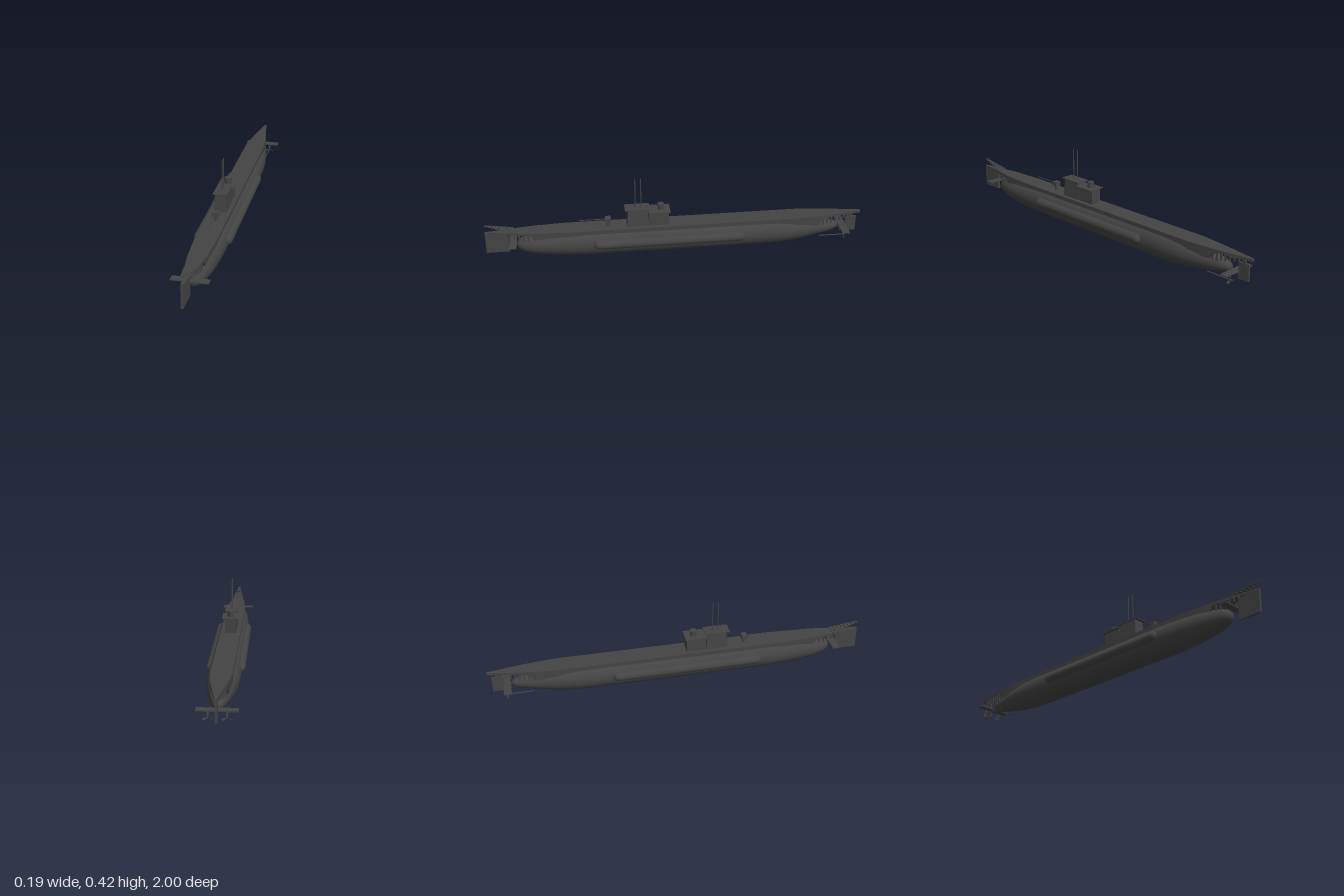
import * as THREE from 'three';

export function createModel() {
  const model = new THREE.Group();
  const mat = new THREE.MeshStandardMaterial({ color: 0x444444 });
  mat.name = 'dark hull grey';

  const add = (name, geo, x = 0, y = 0, z = 0, parent = model) => {
    const m = new THREE.Mesh(geo, mat);
    m.name = name;
    m.position.set(x, y, z);
    parent.add(m);
    return m;
  };
  // Box given by its centre x, full width, and y and z ranges
  const box = (name, x, w, y0, y1, z0, z1) =>
    add(name, new THREE.BoxGeometry(w, y1 - y0, z1 - z0), x, (y0 + y1) / 2, (z0 + z1) / 2);
  const rod = (name, r, len, x, y, z, sides = 12) =>
    add(name, new THREE.CylinderGeometry(r, r, len, sides), x, y, z);
  const rodZ = (name, r, z0, z1, x, y) =>
    add(name, new THREE.CylinderGeometry(r, r, z1 - z0, 10).rotateX(Math.PI / 2), x, y, (z0 + z1) / 2);

  // Rounded pressure hull, turned around the z axis
  const profile = [
    [0, -0.88], [0.012, -0.877], [0.024, -0.86], [0.036, -0.82], [0.049, -0.75], [0.062, -0.68],
    [0.072, -0.61], [0.077, -0.54], [0.079, -0.45], [0.079, 0.42], [0.078, 0.5], [0.074, 0.59],
    [0.066, 0.68], [0.056, 0.75], [0.043, 0.8], [0.03, 0.825], [0.015, 0.838], [0, 0.84],
  ].map(([r, z]) => new THREE.Vector2(r, z));
  add('pressureHull', new THREE.LatheGeometry(profile, 40).rotateX(Math.PI / 2), 0, 0.08, 0);

  // Deck casing: stations of z, half width, bottom height
  const stations = [
    [-1, 0.005, 0.147], [-0.93, 0.016, 0.147], [-0.85, 0.03, 0.145], [-0.79, 0.038, 0.142],
    [-0.77, 0.041, 0.105], [-0.65, 0.053, 0.1], [0.58, 0.053, 0.1], [0.74, 0.043, 0.104],
    [0.76, 0.041, 0.145], [0.86, 0.027, 0.15], [0.94, 0.012, 0.152], [1, 0.005, 0.152],
  ];
  const deck = new THREE.BoxGeometry(1, 1, 1, 1, 1, stations.length - 1);
  const p = deck.attributes.position;
  for (let i = 0; i < p.count; i++) {
    const [z, w, y] = stations[Math.round((p.getZ(i) + 0.5) * (stations.length - 1))];
    p.setXYZ(i, p.getX(i) * 2 * w, p.getY(i) > 0 ? 0.16 : y, z);
  }
  deck.computeVertexNormals();
  add('deckCasing', deck);

  const deckWidth = (z) => {
    const i = Math.max(1, stations.findIndex((s) => s[0] >= z));
    const [a, b] = [stations[i - 1], stations[i]];
    return THREE.MathUtils.lerp(a[1], b[1], (z - a[0]) / (b[0] - a[0]));
  };

  for (const s of [1, -1]) {
    // Saddle tanks
    add('saddleTank', new THREE.CapsuleGeometry(0.027, 0.746, 10, 24).rotateX(Math.PI / 2), s * 0.07, 0.087, 0.04);

    // Open ribs under both ends of the deck
    for (let i = 0; i < 8; i++) {
      const zs = -0.79 - i * 0.023;
      box('sternRib', s * (deckWidth(zs) - 0.003), 0.004, 0.1 + i * 0.005, 0.15, zs - 0.005, zs + 0.005);
      if (i > 5) continue;
      const zb = 0.775 + i * 0.024;
      box('bowRib', s * (deckWidth(zb) - 0.003), 0.004, 0.105 + i * 0.006, 0.152, zb - 0.005, zb + 0.005);
    }

    // Propeller with shaft and three blades
    rodZ('propellerShaft', 0.003, -0.915, -0.77, s * 0.043, 0.04);
    const propeller = new THREE.Group();
    propeller.name = 'propeller';
    propeller.position.set(s * 0.043, 0.04, -0.906);
    for (let k = 0; k < 3; k++) {
      const blade = new THREE.BoxGeometry(0.01, 0.018, 0.003);
      blade.rotateY(0.5).translate(0, 0.016, 0).rotateZ((k * Math.PI * 2) / 3);
      add('propellerBlade', blade, 0, 0, 0, propeller);
    }
    model.add(propeller);
  }

  // Rising stepped slats over the bow
  for (let i = 0; i < 8; i++) {
    const t = i / 7, z = 0.86 + t * 0.13;
    box('bowSlat', 0, 2 * THREE.MathUtils.lerp(0.028, 0.006, t), 0.163 + t * 0.033, 0.167 + t * 0.033, z - 0.009, z + 0.009);
  }

  // Steering surfaces
  box('bowStemPlate', 0, 0.012, 0.04, 0.155, 0.88, 1);
  box('bowPlanes', 0, 0.18, 0.102, 0.107, 0.838, 0.876);
  box('sternPlanes', 0, 0.19, 0.073, 0.079, -0.925, -0.885);
  box('rudder', 0, 0.01, 0.04, 0.125, -0.98, -0.92);
  box('rudderPost', 0, 0.008, 0.12, 0.15, -0.96, -0.94);

  // Conning tower, narrower toward its top
  const tower = new THREE.BoxGeometry(0.066, 0.098, 0.118);
  const q = tower.attributes.position;
  for (let i = 0; i < q.count; i++) {
    if (q.getY(i) > 0) q.setXYZ(i, q.getX(i) * 0.84, q.getY(i), q.getZ(i) * 0.86);
  }
  tower.computeVertexNormals();
  add('conningTower', tower, 0, 0.206, 0.204);
  box('towerPlatform', 0, 0.072, 0.255, 0.259, 0.14, 0.272);

  // Aft gun platform
  box('aftTower', 0, 0.06, 0.158, 0.24, 0.042, 0.146);
  box('aftPlatform', 0, 0.09, 0.238, 0.242, 0.034, 0.15);
  rod('aftTurret', 0.018, 0.032, 0, 0.256, 0.082, 20);

  // Periscopes
  for (const z of [0.185, 0.215]) rod('periscope', 0.003, 0.166, 0, 0.337, z, 10);

  // Deck gun
  rod('gunPedestal', 0.009, 0.026, 0, 0.172, 0.36);
  box('gunMount', 0, 0.034, 0.183, 0.207, 0.345, 0.375);
  rodZ('gunBarrel', 0.0025, 0.37, 0.51, 0, 0.198);

  return model;
}
